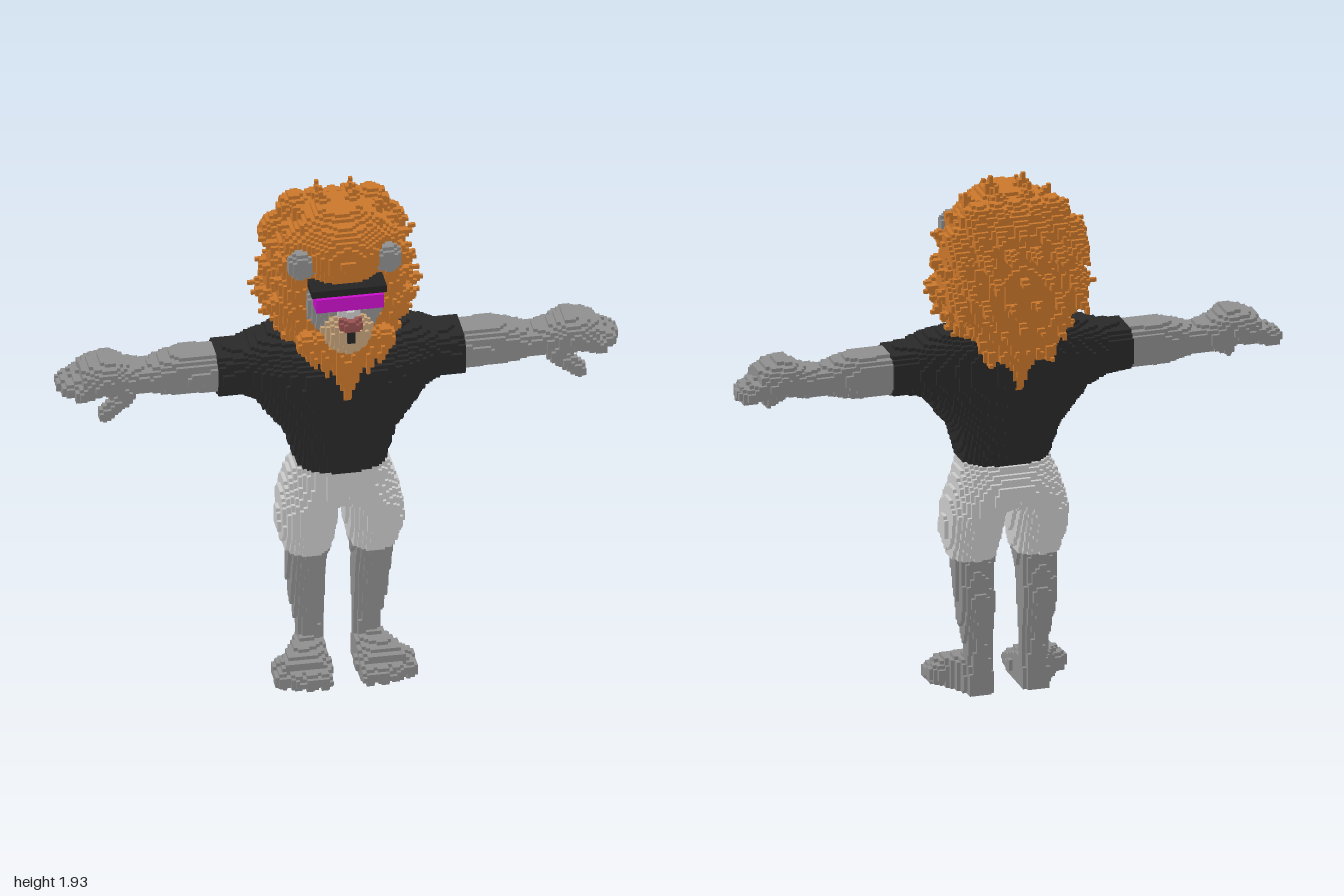
import * as THREE from 'three';

const V = 2 / 150;                 // voxel edge
const N = [150, 146, 46];          // grid cells in x, y, z
const O = [-1, 0, -23 * V];        // grid origin

// --- solid shapes: a bounding box plus an inside test -----------------------
// Rounded sections along an axis; rows are [t, u0, u1, v0, v1]
function loft(axis, rows, power = 2.4) {
  const [u, v] = [0, 1, 2].filter(a => a !== axis);
  const col = i => rows.map(r => r[i]);
  const min = [], max = [];
  min[axis] = rows[0][0]; max[axis] = rows.at(-1)[0];
  min[u] = Math.min(...col(1)); max[u] = Math.max(...col(2));
  min[v] = Math.min(...col(3)); max[v] = Math.max(...col(4));
  return { min, max, has(p) {
    const i = rows.findIndex(r => r[0] >= p[axis]);
    if (i < 1) return false;
    const a = rows[i - 1], b = rows[i], f = (p[axis] - a[0]) / (b[0] - a[0]);
    const [, u0, u1, v0, v1] = a.map((n, k) => n + (b[k] - n) * f);
    const du = Math.abs((2 * p[u] - u0 - u1) / (u1 - u0));
    const dv = Math.abs((2 * p[v] - v0 - v1) / (v1 - v0));
    return du ** power + dv ** power <= 1;
  } };
}
function ellipsoid(c, r) {
  return {
    min: c.map((n, i) => n - r[i]), max: c.map((n, i) => n + r[i]),
    has: p => p.reduce((s, n, i) => s + ((n - c[i]) / r[i]) ** 2, 0) <= 1,
  };
}
// Tapered limb or tuft from a to b
function taper(a, b, ra, rb) {
  const r = Math.max(ra, rb), d = b.map((n, i) => n - a[i]);
  const len2 = d.reduce((s, n) => s + n * n, 0);
  return {
    min: a.map((n, i) => Math.min(n, b[i]) - r), max: a.map((n, i) => Math.max(n, b[i]) + r),
    has(p) {
      const t = Math.min(1, Math.max(0, d.reduce((s, n, i) => s + n * (p[i] - a[i]), 0) / len2));
      return Math.hypot(...p.map((n, i) => n - a[i] - d[i] * t)) <= ra + (rb - ra) * t;
    },
  };
}
const box = (min, max) => ({ min, max, has: p => p.every((n, i) => n >= min[i] && n <= max[i]) });

// --- voxel grid ---------------------------------------------------------------
const index = c => (c[0] * N[1] + c[1]) * N[2] + c[2];
const inGrid = c => c.every((n, i) => n >= 0 && n < N[i]);

// side 0 fills as given; side 1 / -1 fills only that half, mirrored
function fill(grid, id, shapes, side) {
  for (const s of shapes) {
    const lo = s.min.map((n, i) => Math.max(0, Math.floor((n - O[i]) / V)));
    const hi = s.max.map((n, i) => Math.min(N[i] - 1, Math.ceil((n - O[i]) / V)));
    for (let i = lo[0]; i <= hi[0]; i++) for (let j = lo[1]; j <= hi[1]; j++) for (let k = lo[2]; k <= hi[2]; k++) {
      const p = [i, j, k].map((n, a) => O[a] + (n + 0.5) * V);
      if (side && p[0] < 0) continue;
      if (s.has(p)) grid[index([side < 0 ? N[0] - 1 - i : i, j, k])] = id;
    }
  }
}

// Exposed faces of one part, merged into strips
function skin(grid, id) {
  const pos = [], idx = [];
  for (let a = 0; a < 3; a++) for (const sign of [1, -1]) {
    const u = (a + 1) % 3, v = (a + 2) % 3, c = [0, 0, 0];
    const open = () => {
      if (grid[index(c)] !== id) return false;
      const n = [...c]; n[a] += sign;
      return !inGrid(n) || grid[index(n)] === 0;
    };
    for (let i = 0; i < N[a]; i++) for (let j = 0; j < N[v]; j++) {
      let start = -1;
      for (let k = 0; k <= N[u]; k++) {
        c[a] = i; c[v] = j; c[u] = k;
        const on = k < N[u] && open();
        if (on && start < 0) start = k;
        if (on || start < 0) continue;
        const base = pos.length / 3;
        for (const [x, y] of [[start, j], [k, j], [k, j + 1], [start, j + 1]]) {
          const q = [];
          q[a] = i + (sign > 0 ? 1 : 0); q[u] = x; q[v] = y;
          pos.push(...q.map((n, m) => O[m] + n * V));
        }
        const order = sign > 0 ? [0, 1, 2, 0, 2, 3] : [0, 2, 1, 0, 3, 2];
        idx.push(...order.map(n => base + n));
        start = -1;
      }
    }
  }
  const g = new THREE.BufferGeometry();
  g.setAttribute('position', new THREE.Float32BufferAttribute(pos, 3));
  g.setIndex(idx);
  g.computeVertexNormals();
  return g;
}

// --- mane: a full body of hair with rings of tufts ----------------------------
function maneShapes() {
  const rows = [
    [1.18, 0.02, -0.185, 0.185], [1.25, 0.07, -0.2, 0.19], [1.32, 0.13, -0.21, 0.185],
    [1.4, 0.2, -0.215, 0.165], [1.5, 0.25, -0.225, 0.125], [1.6, 0.25, -0.225, 0.12],
    [1.7, 0.23, -0.215, 0.14], [1.78, 0.19, -0.19, 0.15], [1.84, 0.13, -0.13, 0.12], [1.88, 0.07, -0.07, 0.07],
  ].map(([y, w, z0, z1]) => [y, -w, w, z0, z1]);
  const out = [loft(1, rows, 2.2), ellipsoid([0, 1.73, 0.08], [0.14, 0.13, 0.115])];
  const tips = [[0.065, 1.93], [0.16, 1.88], [0.22, 1.81], [0.27, 1.74], [0.285, 1.63], [0.31, 1.53], [0.28, 1.45], [0.235, 1.37], [0.18, 1.3]];
  for (const s of [1, -1]) {
    for (const [z, k] of [[0.06, 0.9], [-0.02, 1], [-0.09, 0.97], [-0.16, 0.82]])
      for (const [x, y] of tips) {
        const ty = 1.5 + (y - 1.5) * k;
        out.push(taper([s * x * 0.6, 1.5 + (ty - 1.5) * 0.7, z], [s * x * k, ty, z - 0.01], 0.055, 0.005));
      }
    // Tufts hanging down the back
    [[1.76, 0.18, -0.25], [1.68, 0.21, -0.272], [1.59, 0.22, -0.265], [1.5, 0.21, -0.258], [1.41, 0.17, -0.245], [1.32, 0.1, -0.228]]
      .forEach(([y, w, z], row) => {
        for (let n = 0; n < 3; n++) {
          const x = s * w * (n + (row % 2) * 0.5) / 2.25;
          out.push(taper([x * 0.85, y + 0.04, -0.12], [x, y - 0.02 * n, z + 0.01 * n], 0.065, 0.006));
        }
      });
    // Beard strands
    for (const x of [0.03, 0.09, 0.14])
      out.push(taper([s * x, 1.4, 0.14], [s * x * 0.8, 1.23 + x * 0.7, 0.18], 0.04, 0.008));
  }
  return out;
}

export function createModel() {
  const mat = (name, color) => Object.assign(new THREE.MeshStandardMaterial({ color }), { name });
  const fur = mat('greyFur', 0x929292), black = mat('blackCloth', 0x2a2a2a), pale = mat('paleGrey', 0xcfcfcf);
  const hair = mat('orangeHair', 0xcf7a2c), pink = mat('magentaLens', 0xd010d0), dark = mat('darkFrame', 0x252525);
  const tan = mat('tanMuzzle', 0xc9a67c), red = mat('noseRed', 0x9a5252);
  const parts = [];
  const part = (name, material, shapes, side = 0) => parts.push({ name, material, shapes, side });
  const pair = (name, material, shapes) => {
    part('left' + name, material, shapes, 1);
    part('right' + name, material, shapes, -1);
  };

  // Limbs
  pair('LowerLeg', fur, [loft(1, [
    [0.06, 0.055, 0.15, -0.07, 0.05], [0.13, 0.058, 0.143, -0.068, 0.03], [0.2, 0.055, 0.155, -0.06, 0.025],
    [0.28, 0.05, 0.172, -0.075, 0.04], [0.35, 0.05, 0.18, -0.095, 0.05], [0.42, 0.05, 0.182, -0.08, 0.07], [0.52, 0.04, 0.185, -0.065, 0.098],
  ])]);
  pair('Foot', fur, [
    loft(2, [[-0.072, 0.065, 0.14, -0.03, 0.09], [-0.03, 0.052, 0.155, -0.04, 0.13], [0.03, 0.05, 0.185, -0.04, 0.13],
      [0.1, 0.05, 0.235, -0.05, 0.11], [0.15, 0.052, 0.245, -0.04, 0.09]], 3),
    ...[0.172, 0.175, 0.165, 0.145].map((z, i) => taper([0.082 + i * 0.043, 0.045, 0.08], [0.082 + i * 0.047, 0.035, z], 0.04, 0.031)),
  ]);
  pair('Arm', fur, [loft(0, [
    [0.42, 1.17, 1.32, -0.11, 0.065], [0.55, 1.165, 1.325, -0.11, 0.06], [0.62, 1.175, 1.31, -0.1, 0.055],
    [0.68, 1.19, 1.285, -0.09, 0.05], [0.75, 1.19, 1.3, -0.105, 0.065], [0.81, 1.2, 1.335, -0.11, 0.088], [0.87, 1.21, 1.325, -0.11, 0.085], [0.92, 1.215, 1.3, -0.1, 0.06],
  ])]);
  pair('Fingers', fur, [
    ...[0.97, 0.975, 0.965, 0.925].map((x, i) => taper([0.84, 1.265, -0.08 + i * 0.044], [x, 1.225, -0.075 + i * 0.042], 0.042, 0.026)),
    taper([0.77, 1.21, 0.05], [0.845, 1.15, 0.068], 0.035, 0.026),
  ]);

  // Clothes
  pair('ShortsLeg', pale, [loft(1, [
    [0.5, 0.038, 0.195, -0.07, 0.1], [0.6, 0.017, 0.225, -0.1, 0.13], [0.69, 0.01, 0.218, -0.14, 0.135],
    [0.74, -0.1, 0.205, -0.155, 0.14], [0.8, -0.18, 0.185, -0.157, 0.145], [0.872, -0.155, 0.155, -0.11, 0.15],
  ])]);
  part('shirt', black, [loft(1, [
    [0.867, -0.158, 0.158, -0.105, 0.158], [1, -0.2, 0.2, -0.14, 0.162], [1.1, -0.28, 0.28, -0.165, 0.17],
    [1.2, -0.34, 0.34, -0.182, 0.18], [1.28, -0.35, 0.35, -0.182, 0.175], [1.33, -0.31, 0.31, -0.175, 0.13], [1.37, -0.25, 0.25, -0.14, 0.06],
  ])]);
  pair('Sleeve', black, [loft(0, [
    [0.18, 1.1, 1.365, -0.16, 0.13], [0.29, 1.13, 1.355, -0.14, 0.11], [0.35, 1.16, 1.33, -0.125, 0.09], [0.445, 1.165, 1.325, -0.122, 0.086],
  ], 2.8)]);

  // Head
  part('mane', hair, maneShapes());
  part('face', fur, [ellipsoid([0, 1.54, 0.09], [0.14, 0.14, 0.1])]);
  pair('Ear', fur, [ellipsoid([0.155, 1.71, 0.115], [0.05, 0.052, 0.038])]);
  part('muzzle', tan, [ellipsoid([0, 1.465, 0.155], [0.088, 0.088, 0.09])]);
  part('noseBridge', pale, [ellipsoid([0, 1.56, 0.18], [0.045, 0.035, 0.06])]);
  part('nose', red, [ellipsoid([0, 1.525, 0.233], [0.042, 0.027, 0.036])]);
  part('mouth', dark, [box([-0.013, 1.447, 0.2], [0.013, 1.505, 0.252])]);
  part('visorLens', pink, [box([-0.122, 1.58, 0.16], [0.122, 1.632, 0.228]), box([-0.107, 1.568, 0.165], [0.107, 1.59, 0.228])]);
  part('visorFrame', dark, [box([-0.133, 1.625, 0.125], [0.133, 1.658, 0.215])]);

  const grid = new Uint8Array(N[0] * N[1] * N[2]);
  parts.forEach((p, i) => fill(grid, i + 1, p.shapes, p.side));
  const group = new THREE.Group();
  group.name = 'lionFigure';
  parts.forEach((p, i) => {
    const mesh = new THREE.Mesh(skin(grid, i + 1), p.material);
    mesh.name = p.name;
    group.add(mesh);
  });
  return group;
}
